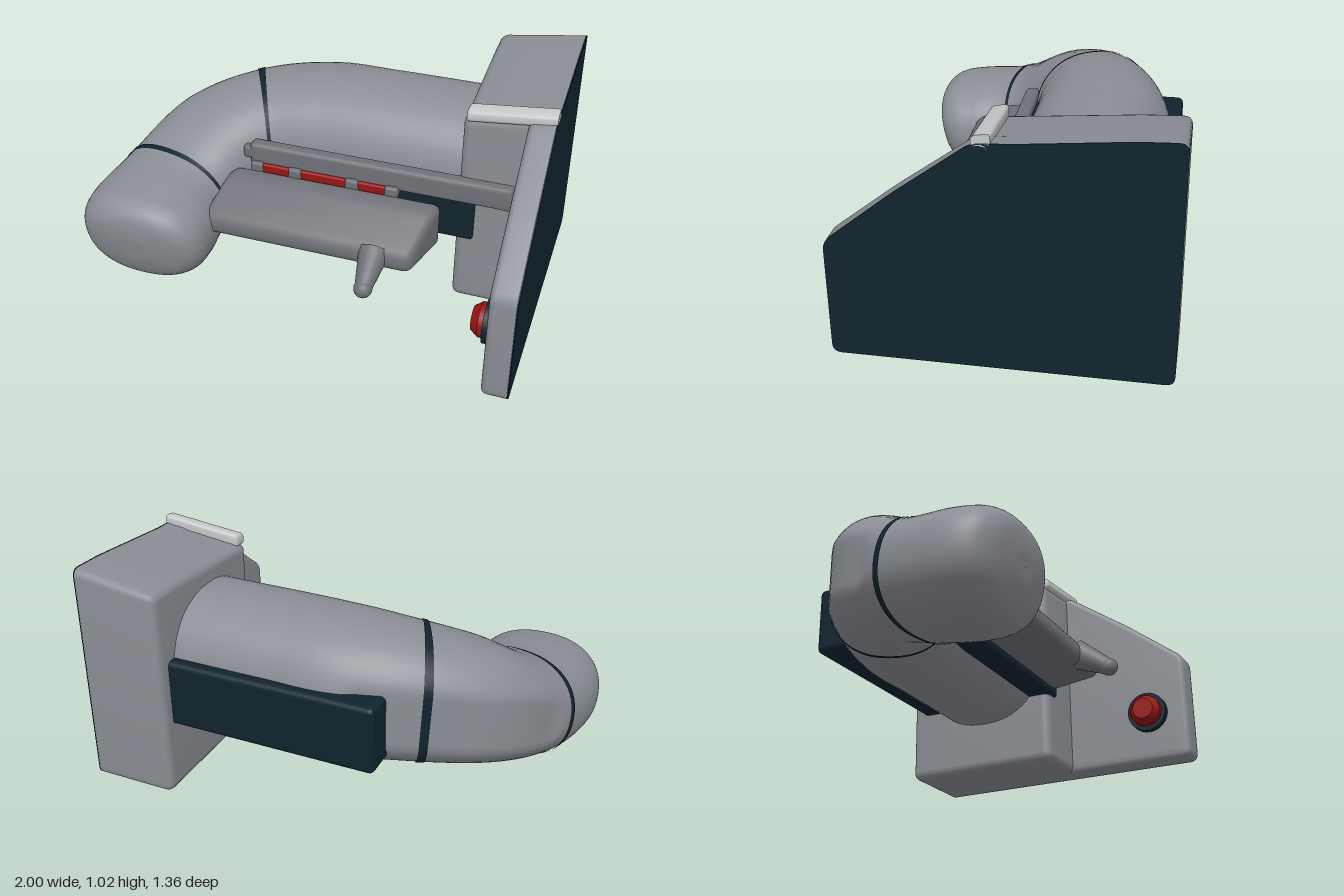
import * as THREE from 'three';
import { toCreasedNormals } from 'three/addons/utils/BufferGeometryUtils.js';
import { RoundedBoxGeometry } from 'three/addons/geometries/RoundedBoxGeometry.js';

const mat = (name, color) => new THREE.MeshStandardMaterial({ name, color });

// Shape from [z, y] corners, each corner rounded by r
function roundedShape(points, r) {
  const p = points.map(([z, y]) => new THREE.Vector2(-z, y));
  const shape = new THREE.Shape();
  p.forEach((c, i) => {
    const prev = p[(i + p.length - 1) % p.length], next = p[(i + 1) % p.length];
    const toward = (q) => c.clone().add(q.clone().sub(c).setLength(Math.min(r, q.distanceTo(c) * 0.45)));
    const a = toward(prev), b = toward(next);
    if (i) shape.lineTo(a.x, a.y); else shape.moveTo(a.x, a.y);
    shape.quadraticCurveTo(c.x, c.y, b.x, b.y);
  });
  shape.closePath();
  return shape;
}

// Extrude a [z, y] profile along x, with rounded ends and an optional vertex rule
function extrudeX(points, x0, x1, bevel, r, rule) {
  const g = new THREE.ExtrudeGeometry(roundedShape(points, r), {
    depth: x1 - x0 - 2 * bevel, curveSegments: 6, bevelEnabled: bevel > 0,
    bevelSize: bevel, bevelThickness: bevel, bevelOffset: -bevel, bevelSegments: 4,
  });
  g.rotateY(Math.PI / 2).translate(x0 + bevel, 0, 0);
  if (rule) {
    const pos = g.attributes.position, v = new THREE.Vector3();
    for (let i = 0; i < pos.count; i++) {
      rule(v.fromBufferAttribute(pos, i));
      pos.setXYZ(i, v.x, v.y, v.z);
    }
  }
  return toCreasedNormals(g, 0.6);
}

// Duct stations: centre x, y, z, half width, half height, yaw in degrees
const STATIONS = [
  [0.66, 0.545, -0.265, 0.31, 0.315, 0],
  [0.2, 0.545, -0.265, 0.31, 0.315, 0],
  [-0.1, 0.54, -0.262, 0.308, 0.313, 2],
  [-0.37, 0.515, -0.19, 0.28, 0.295, 25],
  [-0.58, 0.45, -0.04, 0.28, 0.27, 52],
  [-0.68, 0.345, 0.175, 0.28, 0.235, 78],
  [-0.7, 0.31, 0.38, 0.3, 0.235, 88],
  [-0.695, 0.3, 0.5, 0.285, 0.22, 90],
  [-0.69, 0.295, 0.57, 0.22, 0.17, 90],
  [-0.69, 0.295, 0.597, 0.1, 0.08, 90],
  [-0.69, 0.295, 0.6, 0.001, 0.001, 90],
];
const centres = new THREE.CatmullRomCurve3(STATIONS.map((s) => new THREE.Vector3(s[0], s[1], s[2])), false, 'catmullrom');
const sizes = new THREE.CatmullRomCurve3(STATIONS.map((s) => new THREE.Vector3(s[3], s[4], s[5])), false, 'catmullrom');

// Loft the duct between two station numbers
function ductGeometry(s0, s1, rows, grow) {
  const cols = 56, pos = [], index = [];
  const soft = (c) => Math.sign(c) * Math.pow(Math.abs(c), 0.88);
  for (let i = 0; i <= rows; i++) {
    const s = s0 + ((s1 - s0) * i) / rows, t = s / (STATIONS.length - 1);
    const c = centres.getPoint(t), { x: w, y: h, z: deg } = sizes.getPoint(t);
    const yaw = THREE.MathUtils.degToRad(deg), pitch = 0.2 * deg / 90;
    const side = new THREE.Vector3(Math.sin(yaw), 0, Math.cos(yaw));
    const up = new THREE.Vector3(-Math.cos(yaw) * Math.sin(pitch), Math.cos(pitch), Math.sin(yaw) * Math.sin(pitch));
    // shallow flat panel on the outside of the bend
    const flat = THREE.MathUtils.smoothstep(s, 2, 2.3) * (1 - THREE.MathUtils.smoothstep(s, 4.6, 4.9));
    for (let j = 0; j <= cols; j++) {
      const a = (j / cols) * Math.PI * 2;
      const u = Math.max(soft(Math.cos(a)), -1 + 0.08 * flat);
      const p = c.clone().addScaledVector(side, u * (w + grow)).addScaledVector(up, soft(Math.sin(a)) * (h + grow));
      pos.push(p.x, p.y, p.z);
      if (i < rows && j < cols) {
        const k = i * (cols + 1) + j, n = k + cols + 1;
        index.push(k, k + 1, n, k + 1, n + 1, n);
      }
    }
  }
  const g = new THREE.BufferGeometry();
  g.setAttribute('position', new THREE.Float32BufferAttribute(pos, 3));
  g.setIndex(index);
  g.computeVertexNormals();
  return g;
}

export function createModel() {
  const model = new THREE.Group();
  model.name = 'halfMachine';
  const grey = mat('shellGrey', 0x8b8e95);
  const darkGrey = mat('fittingGrey', 0x707178);
  const light = mat('trimLightGrey', 0xc6c8ca);
  const navy = mat('darkNavy', 0x10242f);
  const red = mat('signalRed', 0x9a1414);
  const duct = mat('ductGrey', 0x8b8e95);
  duct.side = THREE.DoubleSide;
  const band = mat('bandNavy', 0x10242f);
  band.side = THREE.DoubleSide;

  const add = (name, geometry, material, x = 0, y = 0, z = 0) => {
    const mesh = new THREE.Mesh(geometry, material);
    mesh.name = name;
    mesh.position.set(x, y, z);
    model.add(mesh);
    return mesh;
  };
  const box = (name, material, [x0, x1], [y0, y1], [z0, z1], r) =>
    add(name, new RoundedBoxGeometry(x1 - x0, y1 - y0, z1 - z0, 3, r), material,
      (x0 + x1) / 2, (y0 + y1) / 2, (z0 + z1) / 2);

  // Housing: block, forward side plate, dark cut face
  const top = [[-0.04, 0.975], [-0.5, 1.02], [-0.68, 1.028], [-0.68, 0.003]];
  const plateProfile = [[0.68, 0.003], [0.68, 0.51], [0.4, 0.74], [0.09, 0.972], ...top];
  const slopeTop = (v) => {
    v.x = Math.min(v.x, 0.996);
    v.y -= (1 - v.x) * 0.14 * Math.max(0, v.y - 0.5) / 0.5;
  };
  add('housingBlock', extrudeX([[0.08, 0.003], [0.08, 0.965], ...top], 0.615, 1.03, 0.035, 0.04, slopeTop), grey);
  add('sidePlate', extrudeX(plateProfile, 0.885, 1.02, 0.025, 0.04, slopeTop), grey);
  add('cutFace', extrudeX(plateProfile, 0.996, 1, 0, 0.04), navy);
  add('topLip', extrudeX([[0.092, 0.95], [0.092, 1.0], [0.02, 1.012], [0.02, 0.95]], 0.628, 1.02, 0.015, 0.02, (v) => {
    v.x = Math.min(v.x, 1);
    v.y -= (1 - v.x) * 0.11;
  }), light);

  // Curved duct and its two bands
  add('duct', ductGeometry(0, 10, 110, 0), duct);
  [3, 5].forEach((s, i) => add(i ? 'frontBand' : 'rearBand', ductGeometry(s - 0.05, s + 0.05, 4, 0.004), band));

  // Dark bars along the back and front of the duct
  box('backBar', navy, [-0.33, 0.64], [0.33, 0.64], [-0.615, -0.45], 0.025);
  box('frontBar', navy, [-0.3, 0.695], [0.33, 0.6], [-0.03, 0.095], 0.015);

  // Rail with a pointed end
  add('rail', extrudeX([[0.06, 0.53], [0.06, 0.638], [0.125, 0.638], [0.125, 0.53]], -0.36, 0.855, 0.012, 0.018, (v) => {
    if (v.x < 0) v.y = 0.595 + (v.y - 0.595) * 0.5;
  }), darkGrey);
  box('railBody', darkGrey, [-0.33, 0.855], [0.53, 0.638], [0.06, 0.125], 0.02);

  // Red strip and its clips
  box('redStrip', red, [-0.31, 0.36], [0.505, 0.55], [0.09, 0.138], 0.01);
  [-0.29, -0.11, 0.155, 0.335].forEach((x) =>
    box('stripClip', darkGrey, [x - 0.03, x + 0.03], [0.5, 0.555], [0.09, 0.148], 0.012));

  // Sloping arm plate, skewed in plan
  add('armPlate', extrudeX([[0.13, 0.52], [0.21, 0.52], [0.4, 0.4], [0.4, 0.31], [0.13, 0.31]], -0.395, 0.56, 0.035, 0.04, (v) => {
    v.x -= (v.z - 0.15) * 0.25;
  }), darkGrey);

  // Nozzle pointing forward and down
  const nozzle = new THREE.Group();
  nozzle.name = 'nozzle';
  const cone = new THREE.Mesh(new THREE.CylinderGeometry(0.037, 0.068, 0.17, 24), darkGrey);
  cone.name = 'nozzleCone';
  cone.position.y = 0.085;
  const tip = new THREE.Mesh(new THREE.SphereGeometry(0.04, 24, 16), darkGrey);
  tip.name = 'nozzleTip';
  tip.position.y = 0.175;
  nozzle.add(cone, tip);
  nozzle.position.set(0.332, 0.37, 0.36);
  nozzle.rotation.x = Math.PI / 2 + 0.53;
  model.add(nozzle);

  // Button on the inner face of the side plate
  add('buttonRing', new THREE.CylinderGeometry(0.095, 0.095, 0.04, 32), navy, 0.872, 0.24, 0.49).rotation.z = Math.PI / 2;
  add('buttonBase', new THREE.CylinderGeometry(0.075, 0.075, 0.03, 32), red, 0.845, 0.24, 0.49).rotation.z = Math.PI / 2;
  add('buttonCap', new THREE.CylinderGeometry(0.05, 0.075, 0.034, 32), red, 0.815, 0.24, 0.49).rotation.z = Math.PI / 2;
  return model;
}
